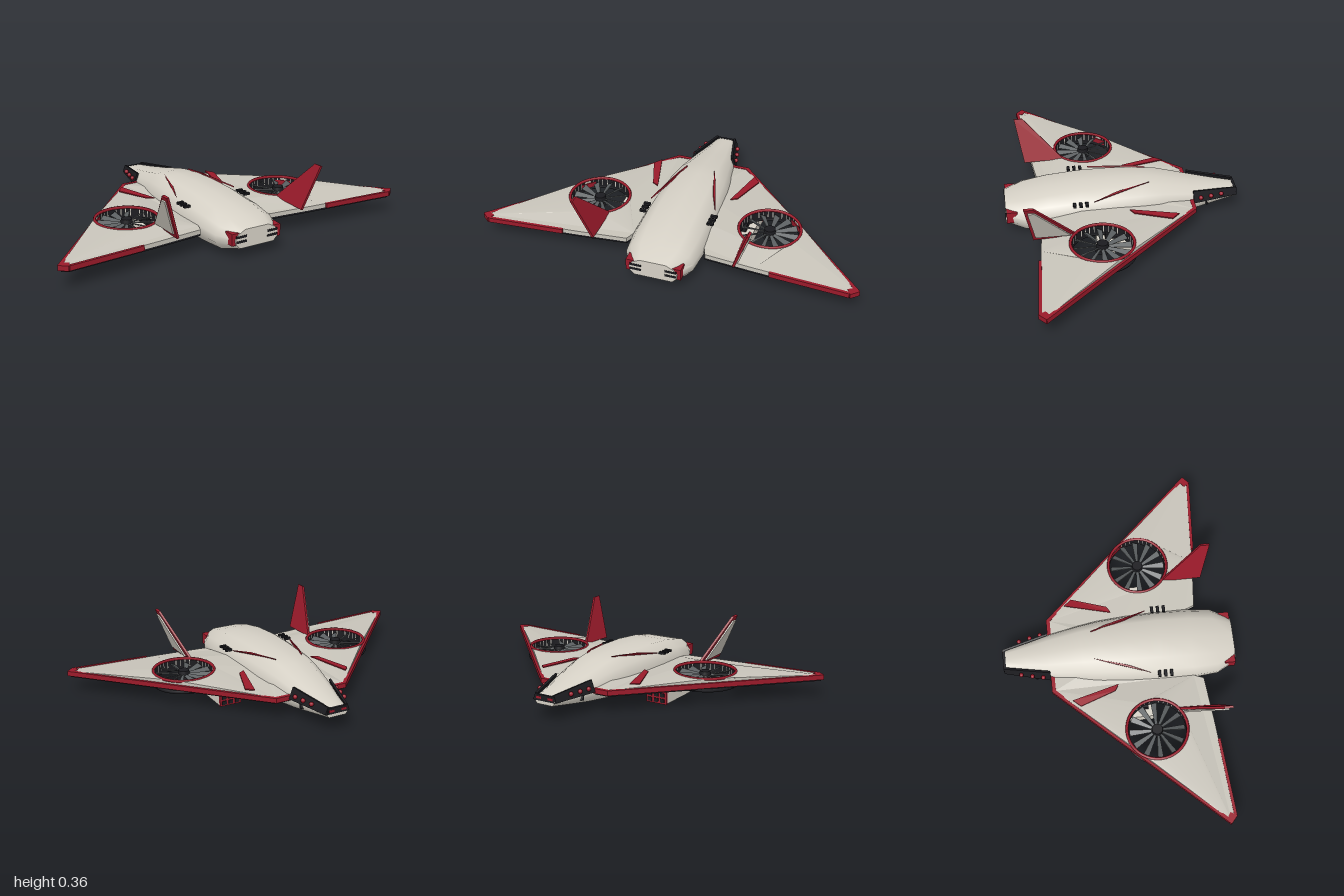
import * as THREE from 'three';
import { toCreasedNormals } from 'three/addons/utils/BufferGeometryUtils.js';

const paint = (name, color) => {
  const m = new THREE.MeshStandardMaterial({ color, side: THREE.DoubleSide });
  m.name = name;
  return m;
};
const hullGrey = paint('hull grey', 0xd6d1c6);
const wingGrey = paint('wing grey', 0xc8c4ba);
const red = paint('dark red', 0x9a1a2a);
const black = paint('black', 0x1b1b1f);
const bladeGrey = paint('blade grey', 0x5c6062);

function add(parent, name, geometry, material, x = 0, y = 0, z = 0) {
  const mesh = new THREE.Mesh(geometry, material);
  mesh.name = name;
  mesh.position.set(x, y, z);
  parent.add(mesh);
  return mesh;
}
const box = (w, h, d) => new THREE.BoxGeometry(w, h, d);

// Convex polygon of 3D corners pushed along an offset; s mirrors it across x
function slab(corners, offset, s = 1) {
  const a = corners.map(([x, y, z]) => new THREE.Vector3(x * s, y, z));
  const o = new THREE.Vector3(offset[0] * s, offset[1], offset[2]);
  const normal = a[1].clone().sub(a[0]).cross(a[2].clone().sub(a[0]));
  if (normal.dot(o) < 0) a.reverse();
  const b = a.map(p => p.clone().add(o));
  const n = a.length, tris = [];
  for (let i = 0; i < n; i++) {
    const j = (i + 1) % n;
    if (i > 0 && i < n - 1) tris.push(b[0], b[i], b[j], a[0], a[j], a[i]);
    tris.push(a[i], a[j], b[j], a[i], b[j], b[i]);
  }
  const g = new THREE.BufferGeometry().setFromPoints(tris);
  g.computeVertexNormals();
  return g;
}

// Fuselage lofted through stations: z, half width, bottom, top
function fuselageGeometry() {
  const stations = [
    [0.62, 0.125, 0.06, 0.155], [0.52, 0.178, 0.037, 0.182], [0.39, 0.19, 0.033, 0.205],
    [0.22, 0.19, 0.03, 0.221], [0.05, 0.183, 0.03, 0.225], [-0.1, 0.17, 0.033, 0.222],
    [-0.2, 0.155, 0.037, 0.212], [-0.38, 0.122, 0.054, 0.172], [-0.5, 0.088, 0.068, 0.15],
    [-0.62, 0.058, 0.084, 0.131],
  ];
  const pos = [], index = [];
  for (const [z, w, lo, hi] of stations) {
    const mid = lo + (hi - lo) * 0.46;
    const half = [[0.55, hi], [0.85, mid + (hi - mid) * 0.62], [1, mid + (hi - mid) * 0.12],
      [0.98, mid - (mid - lo) * 0.45], [0.8, lo]];
    const ring = [[0, hi], ...half, [0, lo], ...half.map(([x, y]) => [-x, y]).reverse()];
    for (const [x, y] of ring) pos.push(x * w, y, z);
  }
  const n = 12, last = (stations.length - 1) * n;
  for (let i = 0; i < last; i += n) {
    for (let j = 0; j < n; j++) {
      const k = (j + 1) % n;
      index.push(i + j, i + k, i + n + k, i + j, i + n + k, i + n + j);
    }
  }
  for (let k = 1; k < n - 1; k++) index.push(0, k + 1, k, last, last + k, last + k + 1);
  const g = new THREE.BufferGeometry();
  g.setAttribute('position', new THREE.Float32BufferAttribute(pos, 3));
  g.setIndex(index);
  return toCreasedNormals(g, 0.75);
}

const FAN = { x: 0.47, z: 0.155, r: 0.157 };

// Delta plate with a round fan opening, its inner area raised by lift
function wingGeometry(s, y, thickness, lift) {
  const outline = [[0.1, -0.36], [0.2, -0.36], [0.985, 0.475], [0.955, 0.497], [0.47, 0.462],
    [0.21, 0.437], [0.19, 0.385], [0.1, 0.385], [0.1, 0.2], [0.1, 0], [0.1, -0.15]];
  const shape = new THREE.Shape(outline.map(([x, z]) => new THREE.Vector2(x * s, -z)));
  shape.holes.push(new THREE.Path().absarc(FAN.x * s, -FAN.z, FAN.r, 0, Math.PI * 2, true));
  const g = new THREE.ExtrudeGeometry(shape, { depth: thickness, bevelEnabled: false, curveSegments: 32 });
  g.rotateX(-Math.PI / 2).translate(0, y, 0);
  const p = g.attributes.position;
  for (let i = 0; i < p.count; i++) {
    const x = Math.abs(p.getX(i)), z = p.getZ(i);
    const inner = Math.hypot(x - FAN.x, z - FAN.z) < FAN.r + 0.01 || (x < 0.15 && z > -0.2);
    if (inner && p.getY(i) > y + thickness / 2) p.setY(i, p.getY(i) + lift);
  }
  g.computeVertexNormals();
  return g;
}

function makeFan(s) {
  const fan = new THREE.Group();
  fan.name = 'liftFan';
  fan.position.set(FAN.x * s, 0, FAN.z);
  add(fan, 'fanDuct', new THREE.CylinderGeometry(FAN.r, FAN.r, 0.066, 40, 1, true), black, 0, 0.112, 0);
  const rim = add(fan, 'fanRim', new THREE.TorusGeometry(FAN.r + 0.003, 0.008, 6, 40), red, 0, 0.144, 0);
  rim.rotation.x = Math.PI / 2;
  const lower = add(fan, 'lowerRim', new THREE.TorusGeometry(FAN.r + 0.008, 0.01, 6, 40), black, 0, 0.085, 0);
  lower.rotation.x = Math.PI / 2;
  add(fan, 'fanHub', new THREE.CylinderGeometry(0.028, 0.036, 0.05, 16), black, 0, 0.118, 0);
  // Tapered, pitched blades
  for (let i = 0; i < 12; i++) {
    const g = slab([[0.025, 0, -0.007], [0.146, 0, -0.017], [0.146, 0, 0.017], [0.025, 0, 0.007]], [0, 0.005, 0]);
    g.rotateX(0.5 * s).rotateY(i * Math.PI / 6);
    add(fan, 'fanBlade', g, bladeGrey, 0, 0.118, 0);
  }
  return fan;
}

function makePod(s) {
  const pod = new THREE.Group();
  pod.name = 'underwingPod';
  pod.position.set(0.315 * s, 0.035, 0.045);
  add(pod, 'podBody', box(0.118, 0.062, 0.245), hullGrey);
  add(pod, 'podPylon', box(0.04, 0.035, 0.2), black, 0, 0.045, -0.02);
  add(pod, 'podFace', box(0.12, 0.066, 0.012), red, 0, 0, -0.122);
  for (const x of [-0.037, 0, 0.037]) {
    for (const y of [-0.015, 0.015]) add(pod, 'launchTube', box(0.024, 0.02, 0.012), black, x, y, -0.127);
  }
  return pod;
}

function makeSide(s) {
  const side = new THREE.Group();
  side.name = s > 0 ? 'leftSide' : 'rightSide';

  // Wing: pale upper skin, dark underside, red edges
  add(side, 'wingTop', wingGeometry(s, 0.1, 0.022, 0.024), wingGrey);
  add(side, 'wingUnderside', wingGeometry(s, 0.09, 0.01, 0), black);
  const up = [0, 0.026, 0];
  const edge = (name, pts) => add(side, name, slab(pts.map(([x, z]) => [x, 0.099, z]), up, s), red);
  edge('rootEdge', [[0.11, -0.375], [0.205, -0.375], [0.205, -0.355], [0.11, -0.355]]);
  edge('leadingEdge', [[0.205, -0.375], [1, 0.472], [0.985, 0.483], [0.195, -0.358]]);
  edge('trailingEdge', [[0.55, 0.464], [0.955, 0.492], [0.955, 0.508], [0.55, 0.479]]);
  edge('wingTip', [[0.975, 0.452], [1, 0.475], [0.96, 0.51], [0.94, 0.475]]);
  add(side, 'wingStripe', slab([[0.27, 0.142, -0.27], [0.305, 0.138, -0.23], [0.24, 0.144, -0.04],
    [0.205, 0.144, -0.02]], [0, 0.006, 0], s), red);

  side.add(makeFan(s), makePod(s));

  // Canted tail fin with a pale panel on its outer face
  const fin = [[0.367, 0.13, 0.493], [0.363, 0.14, 0.275], [0.449, 0.365, 0.49], [0.449, 0.365, 0.537]];
  add(side, 'tailFin', slab(fin, [0.012, -0.004, 0], s), red);
  const panel = [[0.388, 0.152, 0.482], [0.388, 0.152, 0.305], [0.455, 0.34, 0.485], [0.455, 0.34, 0.518]];
  add(side, 'finPanel', slab(panel, [0.007, -0.003, 0], s), wingGrey);

  // Shoulder streak and vents
  add(side, 'shoulderStreak', slab([[0.075, 0.224, -0.14], [0.105, 0.219, -0.06], [0.175, 0.19, 0.16],
    [0.125, 0.21, 0.04]], [0.003, 0.006, 0], s), red);
  for (const z of [0.2, 0.232, 0.264]) add(side, 'vent', box(0.035, 0.012, 0.016), black, 0.183 * s, 0.184, z);

  // Nose sensor strip with lamps
  add(side, 'sensorStrip', slab([[0.122, 0.104, -0.375], [0.1, 0.166, -0.375], [0.044, 0.138, -0.62],
    [0.058, 0.1, -0.62]], [0.012, 0.003, 0], s), black);
  for (const [x, z] of [[0.121, -0.415], [0.109, -0.472], [0.095, -0.53]]) {
    add(side, 'noseLamp', new THREE.SphereGeometry(0.012, 10, 8), red, x * s, 0.132, z);
  }
  add(side, 'noseIntake', slab([[0.098, 0.08, -0.46], [0.103, 0.105, -0.445], [0.103, 0.08, -0.445]],
    [0.01, 0, 0], s), black);

  // Corner exhaust with dark slots
  add(side, 'exhaustBlock', box(0.072, 0.062, 0.056), red, 0.108 * s, 0.11, 0.588);
  for (const y of [0.095, 0.12]) add(side, 'exhaustSlot', box(0.06, 0.012, 0.01), black, 0.092 * s, y, 0.617);
  return side;
}

export function createModel() {
  const model = new THREE.Group();
  model.name = 'deltaWingAircraft';
  add(model, 'fuselage', fuselageGeometry(), hullGrey);

  // Nose tip
  add(model, 'noseTip', box(0.115, 0.032, 0.014), black, 0, 0.118, -0.616);
  for (const x of [-0.035, 0.035]) add(model, 'noseTipLamp', box(0.03, 0.012, 0.006), red, x, 0.118, -0.621);

  // Belly hatch: two framed doors
  for (const s of [-1, 1]) {
    for (const x of [0.006, 0.07]) add(model, 'hatchRail', box(0.008, 0.016, 0.16), hullGrey, x * s, 0.031, -0.1);
    for (const z of [-0.18, -0.02]) add(model, 'hatchBar', box(0.072, 0.016, 0.008), hullGrey, 0.038 * s, 0.031, z);
  }

  for (const s of [1, -1]) model.add(makeSide(s));
  return model;
}
